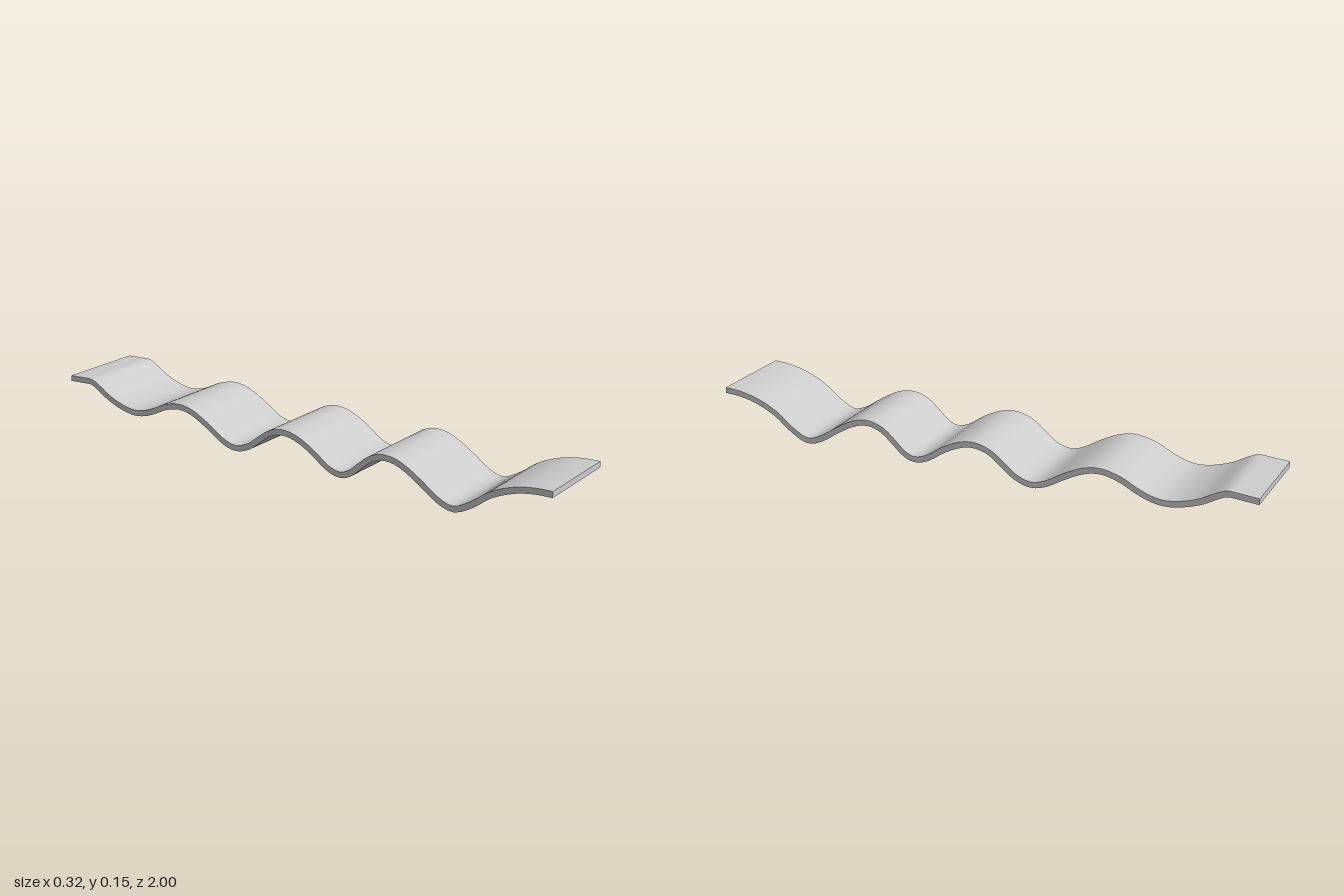
import * as THREE from 'three';
import { toCreasedNormals } from 'three/addons/utils/BufferGeometryUtils.js';

const WIDTH = 0.316;
const HALF_THICKNESS = 0.0105;

// Centre line of the wavy strip, front to back, as [z, y]
const WAVE = [
  [1, 0.141], [0.94, 0.138], [0.87, 0.124], [0.79, 0.09], [0.725, 0.042], [0.66, 0.0105],
  [0.6, 0.027], [0.53, 0.073], [0.46, 0.112], [0.4, 0.124], [0.345, 0.108], [0.3, 0.072],
  [0.26, 0.038], [0.22, 0.025], [0.17, 0.039], [0.105, 0.083], [0.04, 0.114], [-0.015, 0.122],
  [-0.07, 0.107], [-0.115, 0.075], [-0.165, 0.038], [-0.22, 0.022], [-0.275, 0.036],
  [-0.35, 0.081], [-0.415, 0.112], [-0.475, 0.121], [-0.54, 0.106], [-0.59, 0.082],
  [-0.64, 0.063], [-0.69, 0.056], [-0.745, 0.064], [-0.81, 0.087], [-0.86, 0.116],
  [-0.895, 0.132], [-0.93, 0.132], [-1, 0.128],
];

// Offsets the centre line to both sides to make a closed ribbon outline
function ribbonShape(points, half, steps) {
  const curve = new THREE.SplineCurve(points.map(([z, y]) => new THREE.Vector2(-z, y)));
  const top = [];
  const bottom = [];
  for (let i = 0; i <= steps; i++) {
    const p = curve.getPoint(i / steps);
    const t = curve.getTangent(i / steps);
    // Ends are cut upright
    const n = i === 0 || i === steps ? new THREE.Vector2(0, 1) : new THREE.Vector2(-t.y, t.x);
    top.push(p.clone().addScaledVector(n, half));
    bottom.push(p.clone().addScaledVector(n, -half));
  }
  return new THREE.Shape([...bottom, ...top.reverse()]);
}

export function createModel() {
  const group = new THREE.Group();
  group.name = 'wavyStrip';

  // Extrude across the width, then turn the profile to run along z
  const geometry = new THREE.ExtrudeGeometry(
    ribbonShape(WAVE, HALF_THICKNESS, (WAVE.length - 1) * 3),
    { depth: WIDTH, bevelEnabled: false },
  );
  geometry.translate(0, 0, -WIDTH / 2);
  geometry.rotateY(Math.PI / 2);

  const strip = new THREE.Mesh(
    toCreasedNormals(geometry, Math.PI / 5),
    new THREE.MeshStandardMaterial({ color: 0xcccccc }),
  );
  strip.name = 'strip';
  group.add(strip);
  return group;
}
